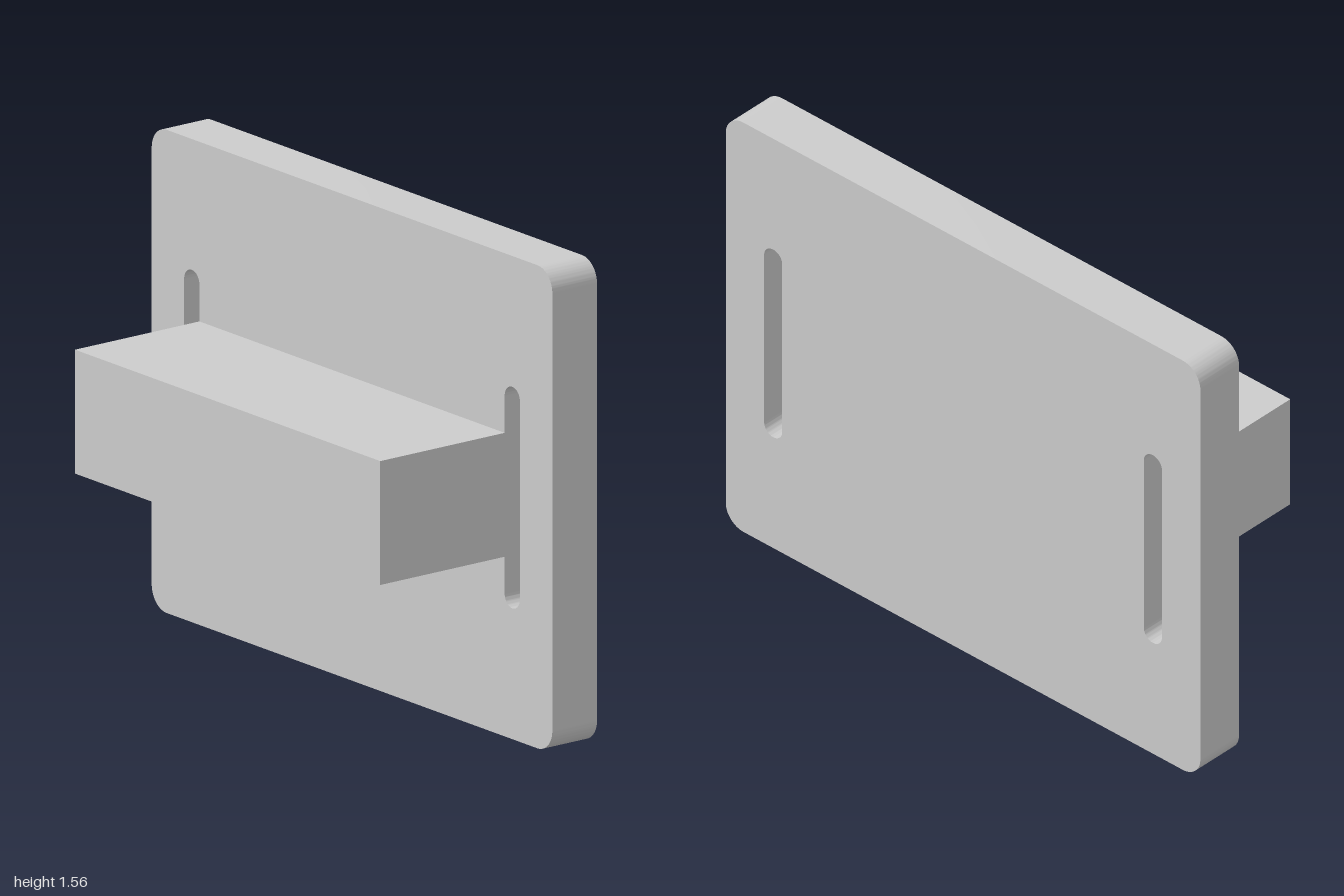
import * as THREE from 'three';
import { toCreasedNormals } from 'three/addons/utils/BufferGeometryUtils.js';

const HEIGHT = 1.56;
const BACK = -0.333, PLATE_FRONT = -0.157, BAR_FRONT = 0.333;

// Rounded rectangle centred on (cx, cy), traced onto a Shape or Path
function roundedRect(path, cx, cy, w, h, r) {
  const x = w / 2 - r, y = h / 2 - r;
  path.moveTo(cx - x, cy - y - r);
  path.absarc(cx + x, cy - y, r, -Math.PI / 2, 0);
  path.absarc(cx + x, cy + y, r, 0, Math.PI / 2);
  path.absarc(cx - x, cy + y, r, Math.PI / 2, Math.PI);
  path.absarc(cx - x, cy - y, r, Math.PI, Math.PI * 1.5);
  path.closePath();
  return path;
}

export function createModel() {
  const group = new THREE.Group();
  const material = new THREE.MeshStandardMaterial({ color: 0xcccccc });

  // Upright plate with rounded corners and a vertical slot near each side
  const outline = roundedRect(new THREE.Shape(), 0, HEIGHT / 2, 2, HEIGHT, 0.075);
  for (const side of [-1, 1]) {
    outline.holes.push(roundedRect(new THREE.Path(), side * 0.8, HEIGHT / 2, 0.076, 0.715, 0.0379));
  }
  const plateGeometry = new THREE.ExtrudeGeometry(outline, {
    depth: PLATE_FRONT - BACK, bevelEnabled: false, curveSegments: 16,
  });
  const plate = new THREE.Mesh(toCreasedNormals(plateGeometry, 0.6), material);
  plate.name = 'slottedPlate';
  plate.position.z = BACK;
  group.add(plate);

  // Block standing out from the front, between the slots
  const depth = BAR_FRONT - PLATE_FRONT;
  const bar = new THREE.Mesh(new THREE.BoxGeometry(1.524, 0.4, depth), material);
  bar.name = 'frontBlock';
  bar.position.set(0, HEIGHT / 2, PLATE_FRONT + depth / 2);
  group.add(bar);

  return group;
}
